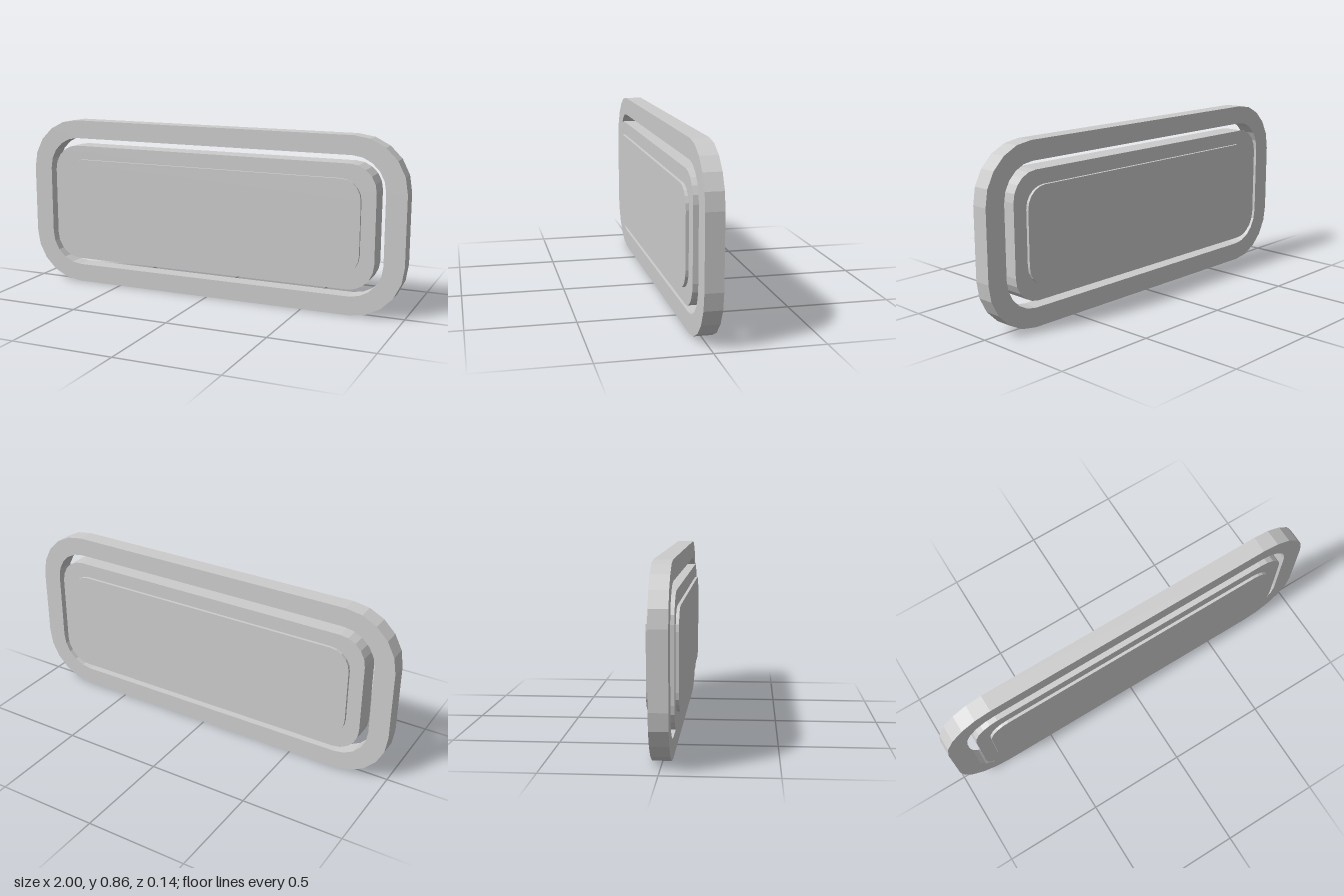
import * as THREE from 'three';

const CENTRE_Y = 0.43;
const CORNER_SEGMENTS = 5;

// Rounded rectangle centred on the origin, traced with faceted corners
function roundedRect(path, w, h, r) {
  const x = w / 2 - r, y = h / 2 - r;
  path.moveTo(x, -h / 2);
  path.absarc(x, -y, r, -Math.PI / 2, 0, false);
  path.absarc(x, y, r, 0, Math.PI / 2, false);
  path.absarc(-x, y, r, Math.PI / 2, Math.PI, false);
  path.absarc(-x, -y, r, Math.PI, Math.PI * 1.5, false);
  path.closePath();
  return path;
}

// Extrudes a shape symmetrically about z = 0.
// absarc is sampled at twice curveSegments, so half is passed for five facets.
function slab(name, shape, depth, material) {
  const geometry = new THREE.ExtrudeGeometry(shape, {
    depth, bevelEnabled: false, curveSegments: CORNER_SEGMENTS / 2,
  });
  geometry.translate(0, CENTRE_Y, -depth / 2);
  const mesh = new THREE.Mesh(geometry, material);
  mesh.name = name;
  return mesh;
}

export function createModel() {
  const group = new THREE.Group();
  group.name = 'framedPlate';
  const grey = new THREE.MeshStandardMaterial({ color: 0xcccccc });
  grey.name = 'grey';

  // Outer frame with a rounded opening
  const frame = roundedRect(new THREE.Shape(), 2, 0.86, 0.26);
  frame.holes.push(roundedRect(new THREE.Path(), 1.8, 0.675, 0.165));
  group.add(slab('outerFrame', frame, 0.084, grey));

  // Inner plate, floating in the opening
  group.add(slab('innerPlate', roundedRect(new THREE.Shape(), 1.72, 0.6, 0.13), 0.112, grey));

  // Raised panel, standing proud on the front and back
  group.add(slab('raisedPanel', roundedRect(new THREE.Shape(), 1.58, 0.46, 0.1), 0.14, grey));

  return group;
}
